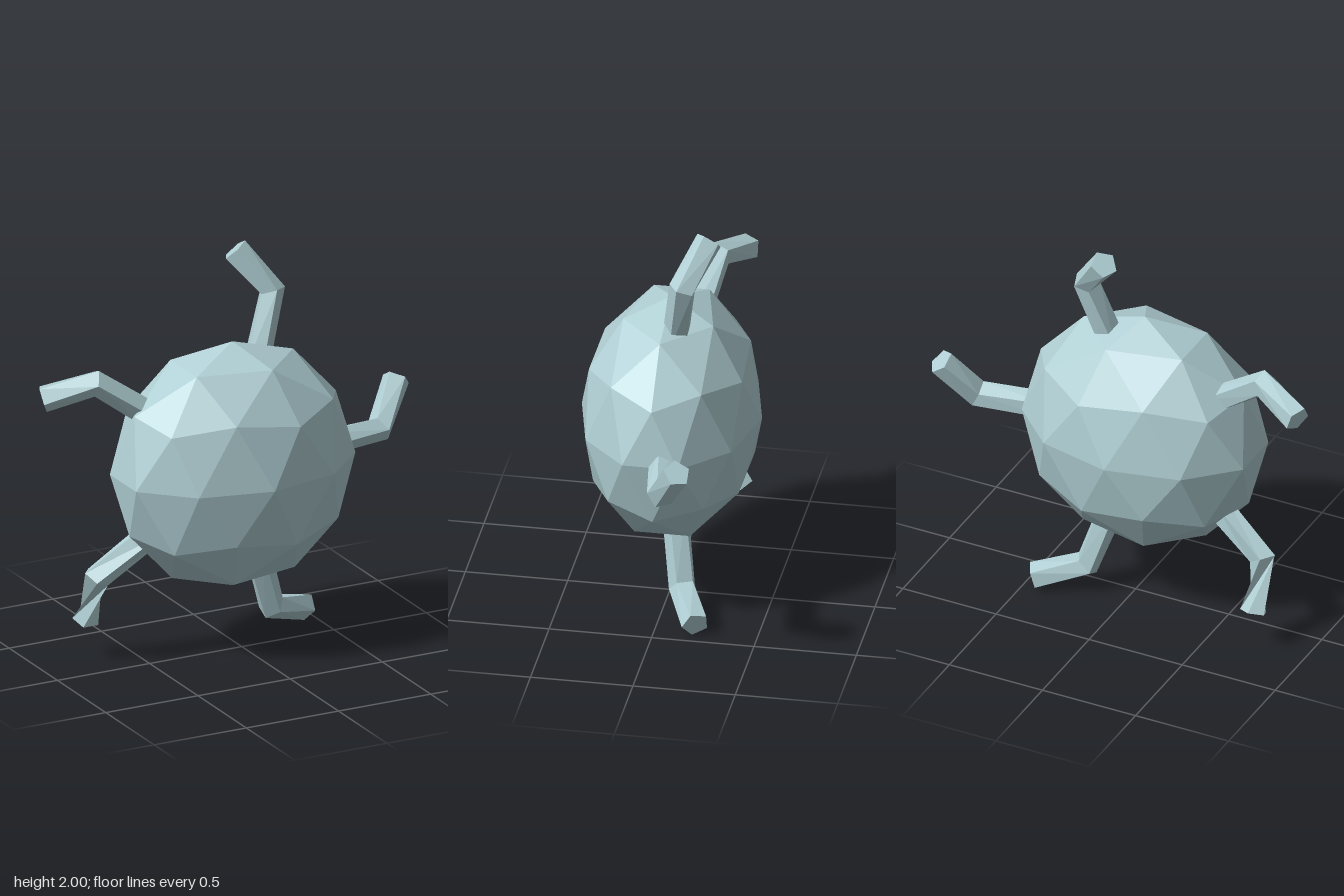
import * as THREE from 'three';

const CENTRE = new THREE.Vector3(-0.05, 0.945, 0);
const SIDES = 5, RADIUS = 0.068;

// Pentagonal tube through a few points, one ring per point, capped at both ends
function limbGeometry(points, twists) {
  const pos = [], idx = [];
  const dirs = points.slice(1).map((p, i) => p.clone().sub(points[i]).normalize());
  points.forEach((p, i) => {
    const t = (dirs[i - 1] || dirs[i]).clone().add(dirs[i] || dirs[i - 1]).normalize();
    const u = new THREE.Vector3(0, 0, 1).addScaledVector(t, -t.z).normalize();
    const v = t.clone().cross(u);
    for (let k = 0; k < SIDES; k++) {
      const a = (k / SIDES) * Math.PI * 2 + twists[i];
      const q = p.clone().addScaledVector(u, RADIUS * Math.cos(a)).addScaledVector(v, RADIUS * Math.sin(a));
      pos.push(q.x, q.y, q.z);
    }
  });
  for (let i = 0; i < points.length - 1; i++) {
    for (let k = 0; k < SIDES; k++) {
      const a = i * SIDES + k, b = i * SIDES + (k + 1) % SIDES;
      idx.push(a, b, b + SIDES, a, b + SIDES, a + SIDES);
    }
  }
  const last = (points.length - 1) * SIDES;
  for (let k = 1; k < SIDES - 1; k++) {
    idx.push(0, k + 1, k, last, last + k, last + k + 1);
  }
  const g = new THREE.BufferGeometry();
  g.setAttribute('position', new THREE.Float32BufferAttribute(pos, 3));
  g.setIndex(idx);
  const flat = g.toNonIndexed();
  flat.computeVertexNormals();
  return flat;
}

export function createModel() {
  const group = new THREE.Group();
  const skin = new THREE.MeshStandardMaterial({ color: 0xb0cfd4, flatShading: true });
  skin.name = 'pale blue grey';

  // Faceted body with a vertex at top and bottom, flattened front to back
  const ball = new THREE.IcosahedronGeometry(1, 1);
  ball.rotateX(-Math.atan((1 + Math.sqrt(5)) / 2));
  ball.rotateY(Math.PI / 2);
  ball.scale(0.625, 0.625, 0.44);
  ball.computeVertexNormals();
  const body = new THREE.Mesh(ball, skin);
  body.name = 'body';
  body.position.copy(CENTRE);
  group.add(body);

  // Five bent limbs around the rim; the lower one on the right is twisted
  const names = ['leftArm', 'topLimb', 'rightArm', 'rightLeg', 'leftLeg'];
  const axis = new THREE.Vector3(0, 0, 1);
  names.forEach((name, i) => {
    const path = [[0.48, 0, -0.045], [0.85, 0, -0.1], [0.995, 0.2, -0.205]]
      .map(p => new THREE.Vector3(...p).applyAxisAngle(axis, (i * Math.PI * 2) / 5));
    const twists = name === 'rightLeg' ? [0, 0.3, 1.9] : [0, 0, 0];
    const limb = new THREE.Mesh(limbGeometry(path, twists), skin);
    limb.name = name;
    limb.position.copy(CENTRE);
    group.add(limb);
  });
  return group;
}
